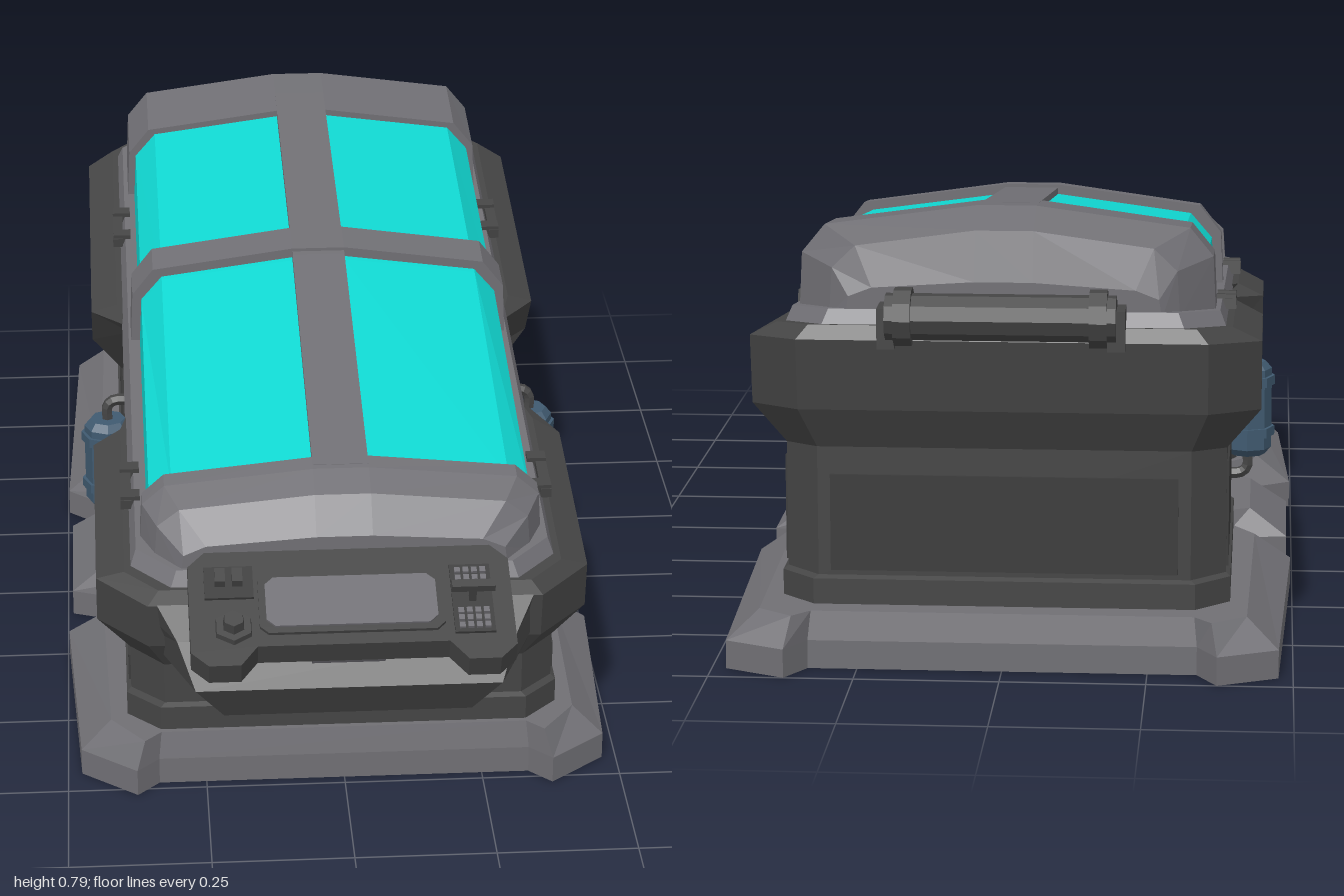
import * as THREE from 'three';

const mat = (name, color, side = THREE.FrontSide) => {
  const m = new THREE.MeshStandardMaterial({ color, flatShading: true, side });
  m.name = name;
  return m;
};

// Joins equal-length rings of [x, y, z] into a closed flat-faced solid; caps are cut in the plane of axes u and v
function loft(rings, u, v) {
  const n = rings[0].length, tris = [];
  const cap = (ring, flip) => {
    const c = ring.map(p => new THREE.Vector2(p[u], p[v]));
    const dir = Math.sign(THREE.ShapeUtils.area(c));
    for (const [i, j, k] of THREE.ShapeUtils.triangulateShape(c.slice(), [])) {
      const same = Math.sign(THREE.ShapeUtils.area([c[i], c[j], c[k]])) === dir;
      tris.push(same !== flip ? [ring[i], ring[j], ring[k]] : [ring[i], ring[k], ring[j]]);
    }
  };
  cap(rings[0], true);
  for (let r = 0; r + 1 < rings.length; r++) {
    for (let i = 0; i < n; i++) {
      const j = (i + 1) % n, a = rings[r], b = rings[r + 1];
      tris.push([a[i], a[j], b[j]], [a[i], b[j], b[i]]);
    }
  }
  cap(rings[rings.length - 1], false);
  // turn the solid outward if its signed volume is negative
  let vol = 0;
  for (const [a, b, c] of tris) {
    vol += a[0] * (b[1] * c[2] - b[2] * c[1]) + a[1] * (b[2] * c[0] - b[0] * c[2]) + a[2] * (b[0] * c[1] - b[1] * c[0]);
  }
  const pos = tris.flatMap(t => (vol < 0 ? [t[0], t[2], t[1]] : t).flat());
  const g = new THREE.BufferGeometry();
  g.setAttribute('position', new THREE.Float32BufferAttribute(pos, 3));
  g.computeVertexNormals();
  return g;
}

const mirrorX = half => [...half, ...half.slice().reverse().map(([x, y]) => [-x, y])];
// Plan outline (x, z) lifted to the sloping plane y = a - b * z
const level = (half, a, b = 0) => mirrorX(half).map(([x, z]) => [x, a - b * z, z]);

export function createModel() {
  const grey = mat('grey metal', 0x706f74);
  const dark = mat('dark metal', 0x454545);
  const inset = mat('inset panel', 0x3b3b3b);
  const blue = mat('canister blue', 0x405a70);
  const teal = mat('teal glass', 0x10d8d2);

  const model = new THREE.Group();
  model.name = 'sleepPod';
  const add = (name, geo, m, p = [0, 0, 0], parent = model) => {
    const mesh = new THREE.Mesh(geo, m);
    mesh.name = name;
    mesh.position.set(...p);
    parent.add(mesh);
    return mesh;
  };
  const box = (name, s, p, m, parent) => add(name, new THREE.BoxGeometry(...s), m, p, parent);

  // Notched floor slab with bevelled upper edge
  const foot = [[0.335, 0.73], [0.375, 0.77], [0.475, 0.69], [0.497, 0.25], [0.37, 0.165], [0.37, 0.135], [0.49, 0.09],
    [0.49, -0.185], [0.37, -0.205], [0.37, -0.225], [0.497, -0.34], [0.475, -0.95], [0.37, -1], [0.335, -0.94]];
  const footTop = [[0.33, 0.72], [0.36, 0.75], [0.42, 0.67], [0.43, 0.27], [0.34, 0.165], [0.34, 0.135], [0.42, 0.07],
    [0.42, -0.165], [0.34, -0.205], [0.34, -0.225], [0.43, -0.36], [0.42, -0.92], [0.36, -0.965], [0.33, -0.93]];
  add('floorSlab', loft([level(foot, 0), level(foot, 0.05), level(footTop, 0.1)], 0, 2), grey);

  // Hull: four flared corner blocks with a recess on each side
  const plan = (w, n, zf, zb, c, f, r) => [[w - c, zf], [w, zf - c], [w, f], [n, f - 0.07], [n, r + 0.08], [w, r], [w, zb + c], [w - c, zb]];
  add('hull', loft([
    level(plan(0.39, 0.355, 0.71, -0.885, 0.06, 0.25, -0.27), 0.09),
    level(plan(0.39, 0.355, 0.71, -0.885, 0.06, 0.25, -0.27), 0.145),
    level(plan(0.382, 0.355, 0.70, -0.875, 0.06, 0.25, -0.28), 0.15),
    level(plan(0.382, 0.355, 0.70, -0.878, 0.06, 0.26, -0.34), 0.295, 0.095),
    level(plan(0.44, 0.36, 0.735, -0.915, 0.09, 0.26, -0.34), 0.36, 0.1),
    level(plan(0.44, 0.365, 0.75, -0.935, 0.09, 0.23, -0.25), 0.465, 0.12),
    level(plan(0.39, 0.37, 0.74, -0.92, 0.06, 0.22, -0.23), 0.49, 0.12),
  ], 0, 2), dark);

  // Jutting front nose
  const nose = (w, zf, back) => [[w, zf], [back, 0.6]];
  add('nose', loft([level(nose(0.22, 0.82, 0.3), 0.19), level(nose(0.27, 0.855, 0.37), 0.26),
    level(nose(0.30, 0.80, 0.40), 0.33), level(nose(0.34, 0.74, 0.40), 0.385)], 0, 2), dark);

  // Thin inset panels on the lower walls
  const wallTop = z => 0.27 - 0.095 * z;
  for (const s of [-1, 1]) {
    for (const [z0, z1] of [[0.63, 0.31], [-0.41, -0.81]]) {
      const ring = x => [[x, 0.16, z0], [x, 0.16, z1], [x, wallTop(z1), z1], [x, wallTop(z0), z0]];
      add('sidePanel', loft([ring(s * 0.379), ring(s * 0.386)], 1, 2), inset);
    }
  }
  box('rearPanel', [0.6, 0.17, 0.008], [0, 0.245, -0.878], inset);

  // Rim that carries the lid
  const rim = (w, zf, zb) => [[w - 0.07, zf], [w, zf - 0.07], [w, zb + 0.07], [w - 0.07, zb]];
  add('rim', loft([level(rim(0.38, 0.735, -0.91), 0.485, 0.12), level(rim(0.368, 0.72, -0.895), 0.516, 0.12)], 0, 2), grey);

  // Lid: faceted cross-sections swept along z
  const topY = z => (z > -0.04 ? 0.7 - 0.203 * (z + 0.04) : 0.7 - 0.1175 * (z + 0.04));
  const section = (z, w, top) => {
    const bot = 0.504 - 0.12 * z, h = top - bot;
    return mirrorX([[w, bot], [w - 0.005, bot + 0.55 * h], [w - 0.045, top - 0.19 * h], [0.05, top]]).map(([x, y]) => [x, y, z]);
  };
  const sweep = (name, stations, m) => add(name, loft(stations.map(s => section(...s)), 0, 1), m);
  sweep('glassCanopy', [0.6, -0.04, -0.65].map(z => [z, 0.347, topY(z) - 0.012]), teal);
  sweep('frontCap', [[0.578, 0.36, topY(0.578)], [0.61, 0.36, 0.567], [0.665, 0.335, 0.543], [0.715, 0.29, 0.485]], grey);
  sweep('crossBar', [-0.052, -0.132].map(z => [z, 0.364, topY(z) + 0.006]), grey);
  sweep('rearCap', [[-0.625, 0.36, topY(-0.625)], [-0.79, 0.36, 0.787], [-0.862, 0.30, 0.755], [-0.885, 0.27, 0.67]], grey);
  add('spine', loft([0.6, -0.04, -0.7].map(z => {
    const y = topY(z);
    return [[0.05, y - 0.04, z], [0.05, y, z], [-0.05, y, z], [-0.05, y - 0.04, z]];
  }), 0, 1), grey);

  // Side latches
  for (const s of [-1, 1]) {
    for (const z of [0.44, -0.5]) {
      const latch = new THREE.Group();
      latch.name = 'latch';
      latch.position.set(s * 0.375, 0.508 - 0.12 * z, z);
      latch.rotation.x = 0.12;
      model.add(latch);
      box('latchBar', [0.02, 0.018, 0.12], [s * 0.008, 0, 0], dark, latch);
      for (const e of [-0.045, 0.045]) box('latchClamp', [0.035, 0.026, 0.025], [0, 0.003, e], dark, latch);
    }
  }

  // Rear roller handle
  const roller = (name, r, len, x) => {
    add(name, new THREE.CylinderGeometry(r, r, len, 10), dark, [x, 0.62, -0.938]).rotation.z = Math.PI / 2;
  };
  roller('rearRoller', 0.04, 0.39, 0);
  for (const s of [-1, 1]) {
    roller('rollerRing', 0.05, 0.03, s * 0.165);
    box('rollerBracket', [0.03, 0.07, 0.07], [s * 0.195, 0.6, -0.915], dark);
  }

  // Side canisters with bands and bent pipes
  for (const s of [-1, 1]) {
    const can = new THREE.Group();
    can.name = 'canister';
    can.position.set(s * 0.413, 0.27, -0.04);
    model.add(can);
    const profile = [[0, -0.092], [0.034, -0.092], [0.046, -0.078], [0.046, 0.078], [0.034, 0.092], [0, 0.092]];
    add('canisterBody', new THREE.LatheGeometry(profile.map(p => new THREE.Vector2(...p)), 8), blue, [0, 0, 0], can);
    for (const y of [-0.045, 0.055]) add('canisterBand', new THREE.CylinderGeometry(0.052, 0.052, 0.018, 8), blue, [0, y, 0], can);
    for (const e of [-1, 1]) {
      const path = new THREE.CatmullRomCurve3([[0, 0.085], [0, 0.118], [-0.012, 0.13], [-0.06, 0.13]]
        .map(([x, y]) => new THREE.Vector3(s * x, e * y, 0)));
      add('canisterPipe', new THREE.TubeGeometry(path, 10, 0.011, 6), dark, [0, 0, 0], can);
    }
  }

  // Arm from the nose to the console
  const arm = box('consoleArm', [0.13, 0.17, 0.075], [0, 0.35, 0.82], grey);
  arm.rotation.x = 0.6;

  // Tilted console
  const desk = new THREE.Group();
  desk.name = 'console';
  desk.position.set(0, 0.442, 0.879);
  desk.rotation.x = 0.38;
  model.add(desk);
  const plate = (name, half, y, h, m) => {
    const shape = new THREE.Shape(mirrorX(half).map(([x, z]) => new THREE.Vector2(x, -z)));
    const g = new THREE.ExtrudeGeometry(shape, { depth: h, bevelEnabled: false });
    add(name, g.rotateX(-Math.PI / 2), m, [0, y, 0], desk);
  };
  plate('consolePlate', [[0.25, -0.122], [0.28, -0.09], [0.28, 0.1], [0.25, 0.13], [0.195, 0.13], [0.165, 0.09]], -0.045, 0.045, dark);
  const octagon = (w, d, c) => [[w - c, -d], [w, c - d], [w, d - c], [w - c, d]];
  plate('screenBezel', octagon(0.16, 0.066, 0.015), 0, 0.006, dark);
  plate('screen', octagon(0.148, 0.054, 0.015), 0.004, 0.006, grey);

  // Left-hand buttons and knob
  box('buttonPad', [0.085, 0.006, 0.07], [-0.21, 0.002, -0.05], inset, desk);
  for (const x of [-0.225, -0.195]) box('button', [0.018, 0.02, 0.03], [x, 0.01, -0.055], dark, desk);
  add('knobBase', new THREE.CylinderGeometry(0.034, 0.036, 0.012, 6), dark, [-0.205, 0.004, 0.05], desk);
  add('knob', new THREE.CylinderGeometry(0.018, 0.022, 0.03, 6), dark, [-0.205, 0.014, 0.05], desk);

  // Right-hand keypad and lever
  box('keypad', [0.07, 0.006, 0.15], [0.21, 0.002, 0], inset, desk);
  for (let i = 0; i < 4; i++) {
    for (const z of [-0.06, -0.043, -0.026, 0.03, 0.046, 0.062]) {
      box('key', [0.01, 0.008, 0.011], [0.188 + i * 0.0147, 0.006, z], grey, desk);
    }
  }
  box('leverStem', [0.012, 0.04, 0.012], [0.21, 0.02, 0.002], dark, desk);
  box('leverGrip', [0.075, 0.014, 0.016], [0.21, 0.04, 0.002], dark, desk);

  return model;
}
